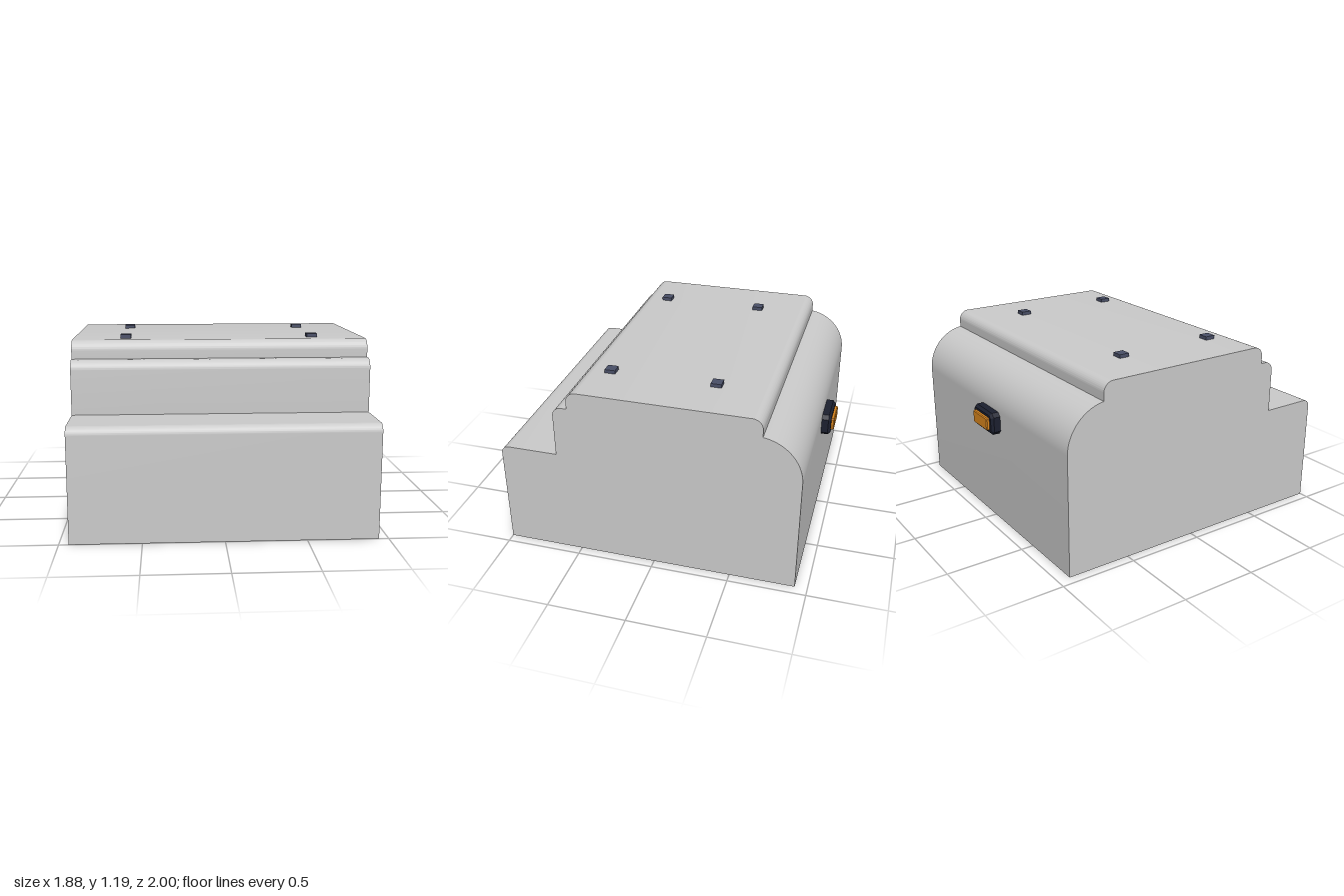
import * as THREE from 'three';
import { toCreasedNormals } from 'three/addons/utils/BufferGeometryUtils.js';

const material = (color) => new THREE.MeshStandardMaterial({ color });

function addMesh(group, name, geometry, mat, x = 0, y = 0, z = 0) {
  const mesh = new THREE.Mesh(geometry, mat);
  mesh.name = name;
  mesh.position.set(x, y, z);
  group.add(mesh);
  return mesh;
}

// Side profile (horizontal = z, vertical = y) extruded across the width
function bodyGeometry(width) {
  const s = new THREE.Shape();
  s.moveTo(-0.92, 0);
  s.lineTo(1, 0);
  // low front step
  s.absarc(0.95, 0.665, 0.05, 0, Math.PI / 2, false);
  s.lineTo(0.625, 0.715);
  // upper front step
  s.absarc(0.565, 0.995, 0.06, 0, Math.PI / 2, false);
  s.lineTo(0.53, 1.055);
  // raised top with rounded edges
  s.absarc(0.465, 1.105, 0.065, 0, Math.PI / 2, false);
  s.absarc(-0.61, 1.105, 0.065, Math.PI / 2, Math.PI, false);
  // large rounded rear shoulder
  const r = 0.28;
  s.absarc(-0.64, 0.778, r, Math.acos(-0.035 / r), Math.PI, false);
  s.closePath();
  const g = new THREE.ExtrudeGeometry(s, { depth: width, bevelEnabled: false, curveSegments: 16 });
  g.translate(0, 0, -width / 2);
  g.rotateY(-Math.PI / 2);
  return toCreasedNormals(g, 0.5);
}

// Cut-corner plate with a chamfered face, growing from z = 0 towards -z
function chamferedPlate(w, h, depth, corner, bevel) {
  const x = w / 2 - bevel, y = h / 2 - bevel, c = corner;
  const s = new THREE.Shape([
    [x - c, -y], [x, -y + c], [x, y - c], [x - c, y],
    [-x + c, y], [-x, y - c], [-x, -y + c], [-x + c, -y],
  ].map(([px, py]) => new THREE.Vector2(px, py)));
  const g = new THREE.ExtrudeGeometry(s, {
    depth: depth - bevel, bevelSize: bevel, bevelThickness: bevel, bevelSegments: 1,
  });
  g.rotateY(Math.PI);
  return g;
}

export function createModel() {
  const model = new THREE.Group();
  model.name = 'steppedBlock';

  addMesh(model, 'body', bodyGeometry(1.88), material(0xcccccc));

  // Four small pads on the top
  const padMaterial = material(0x4a5068);
  const padGeometry = new THREE.BoxGeometry(0.068, 0.03, 0.068);
  for (const x of [-0.605, 0.605]) {
    for (const z of [-0.322, 0.356]) addMesh(model, 'topPad', padGeometry, padMaterial, x, 1.178, z);
  }

  // Rear lamp
  const lamp = new THREE.Group();
  lamp.name = 'rearLamp';
  lamp.position.set(0, 0.702, -0.92);
  addMesh(lamp, 'lampHousing', chamferedPlate(0.26, 0.146, 0.06, 0.015, 0.016), material(0x1c2030));
  addMesh(lamp, 'lampLens', chamferedPlate(0.19, 0.084, 0.03, 0.003, 0.006), material(0xe08a20), 0, 0, -0.05);
  model.add(lamp);

  return model;
}
